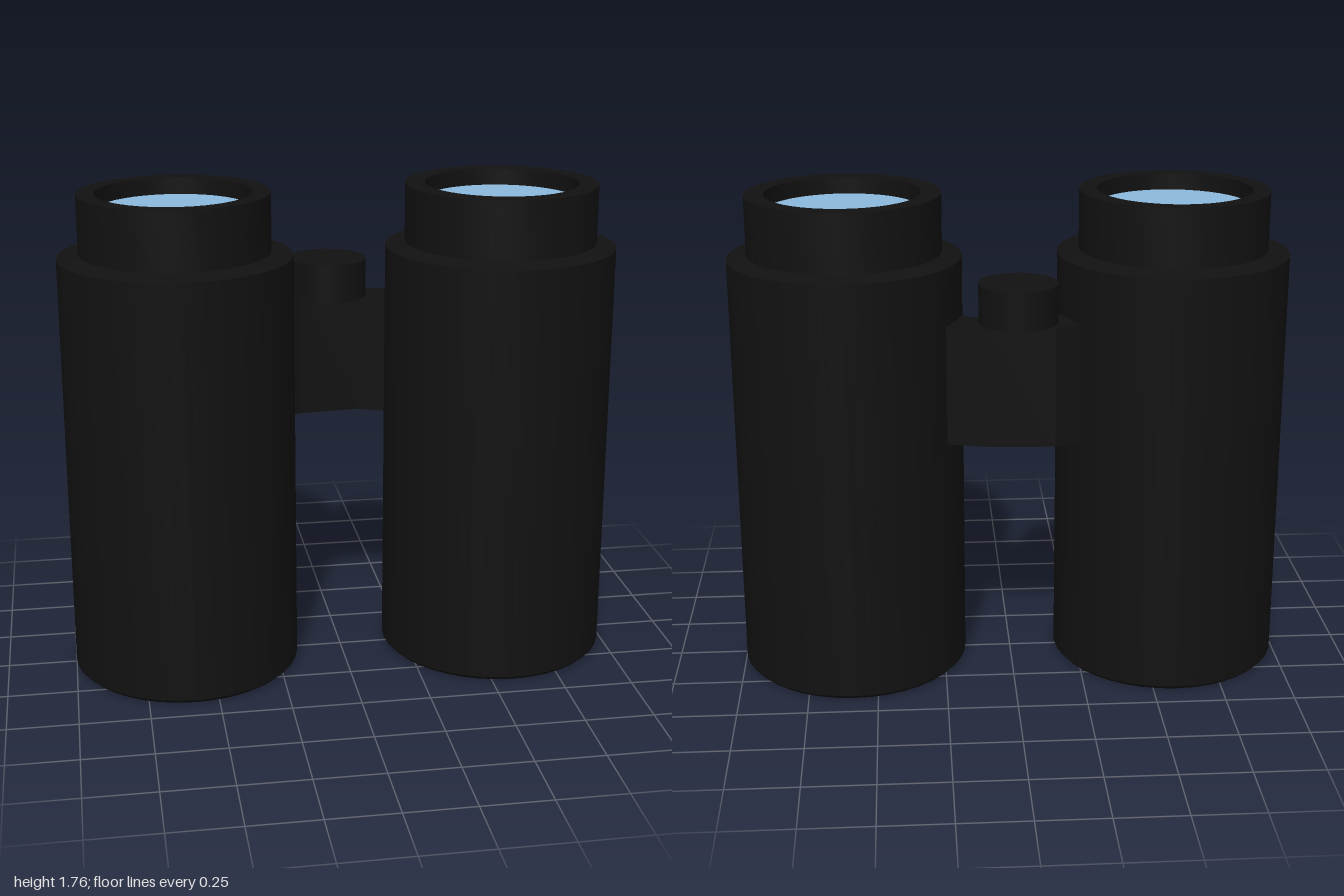
import * as THREE from 'three';
import { toCreasedNormals } from 'three/addons/utils/BufferGeometryUtils.js';

const SEGMENTS = 40;

export function createModel() {
  const model = new THREE.Group();
  model.name = 'binoculars';
  const black = new THREE.MeshStandardMaterial({ color: 0x111111 });
  const glass = new THREE.MeshStandardMaterial({ color: 0x8cb9dd });

  const add = (parent, name, geometry, material, x = 0, y = 0, z = 0) => {
    const mesh = new THREE.Mesh(geometry, material);
    mesh.name = name;
    mesh.position.set(x, y, z);
    parent.add(mesh);
    return mesh;
  };

  // One tube: hollow-ended housing, eyepiece lens on top, objective lens below
  const addTube = (name, x, eyeRadius) => {
    const tube = new THREE.Group();
    tube.name = name;
    tube.position.x = x;
    model.add(tube);
    const profile = [
      [0.385, 0.11], [0.385, 0], [0.4, 0], [0.415, 0.015], [0.415, 1.54],
      [eyeRadius, 1.555], [eyeRadius, 1.765], [0.275, 1.765], [0.275, 1.69],
    ].map(([r, y]) => new THREE.Vector2(r, y));
    add(tube, 'barrel', toCreasedNormals(new THREE.LatheGeometry(profile, SEGMENTS), 0.5), black);
    const eyeLens = add(tube, 'eyepieceLens', new THREE.CircleGeometry(0.275, SEGMENTS), glass, 0, 1.705, 0);
    eyeLens.rotation.x = -Math.PI / 2;
    const frontLens = add(tube, 'objectiveLens', new THREE.CircleGeometry(0.385, SEGMENTS), glass, 0, 0.1, 0);
    frontLens.rotation.x = Math.PI / 2;
  };
  addTube('rightTube', -0.585, 0.338);
  addTube('leftTube', 0.585, 0.345);

  // Bent bridge joining the tubes, outlined in x and z and extruded upward
  const outline = [
    [-0.32, -0.2], [-0.24, -0.23], [-0.145, -0.265], [0.08, -0.255], [0.32, -0.2],
    [0.32, -0.03], [0.19, -0.08], [0.09, -0.125], [-0.13, -0.105], [-0.32, -0.04],
  ].map(([x, z]) => new THREE.Vector2(x, -z));
  const bridge = new THREE.ExtrudeGeometry(new THREE.Shape(outline), { depth: 0.435, bevelEnabled: false });
  bridge.rotateX(-Math.PI / 2);
  add(model, 'bridge', bridge, black, 0, 0.9, 0);

  // Focus wheel on top of the bridge
  add(model, 'focusWheel', new THREE.CylinderGeometry(0.14, 0.14, 0.14, 32), black, -0.02, 1.405, -0.17);

  return model;
}
